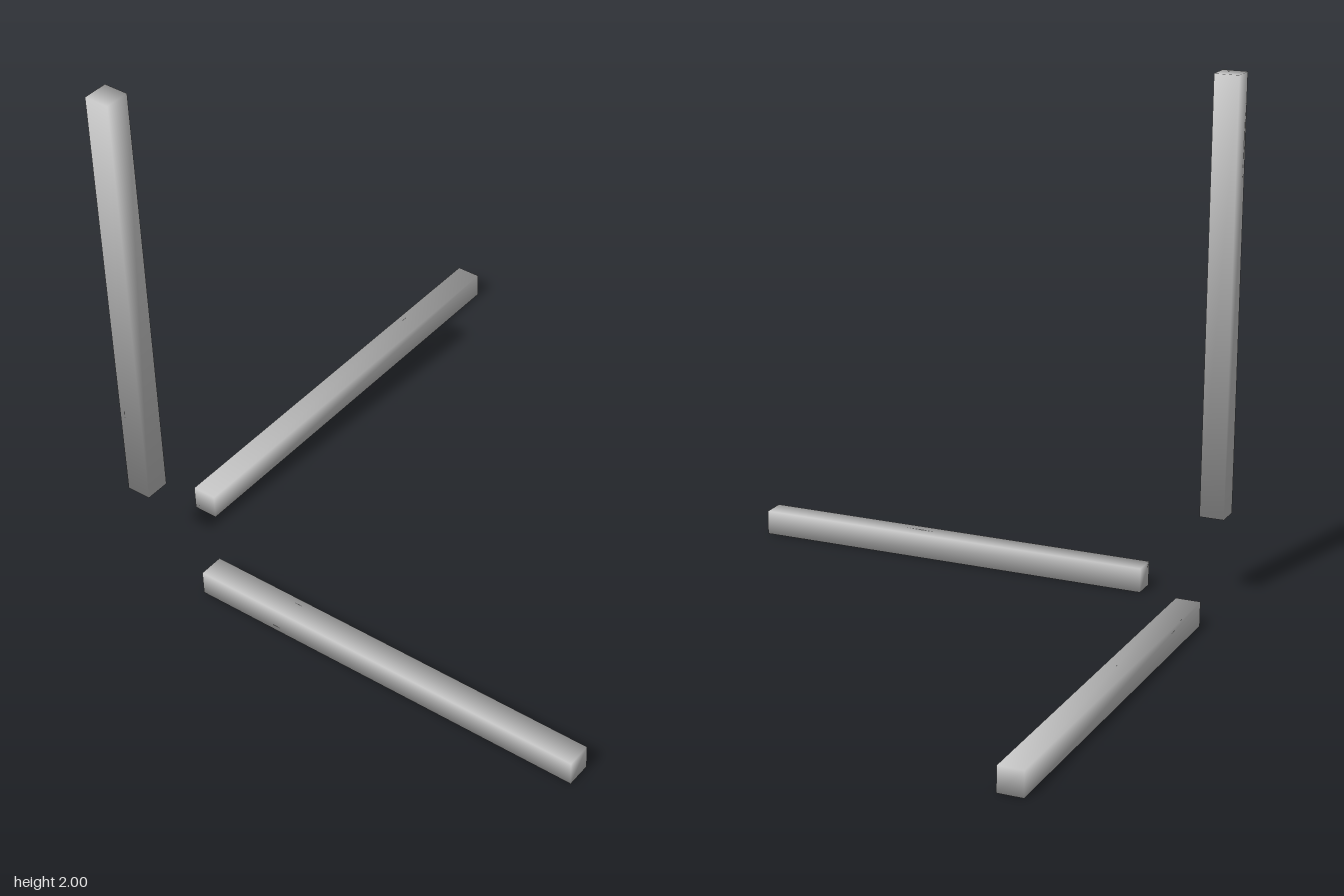
import * as THREE from 'three';

const T = 0.095; // bar thickness

// Square bar between two corners, with corner normals pointing diagonally outward for soft shading
function bar(name, min, max, material) {
  const size = max.map((v, i) => v - min[i]);
  const geometry = new THREE.BoxGeometry(...size);
  const { position, normal } = geometry.attributes;
  const n = new THREE.Vector3();
  for (let i = 0; i < position.count; i++) {
    n.fromBufferAttribute(position, i);
    n.set(Math.sign(n.x), Math.sign(n.y), Math.sign(n.z)).normalize();
    normal.setXYZ(i, n.x, n.y, n.z);
  }
  const mesh = new THREE.Mesh(geometry, material);
  mesh.name = name;
  mesh.position.set(...min.map((v, i) => (v + max[i]) / 2));
  return mesh;
}

export function createModel() {
  const group = new THREE.Group();
  group.name = 'axisBars';
  const material = new THREE.MeshStandardMaterial({ color: 0xcccccc });
  const x = -1, z = -0.957; // outer corner where the three axes would meet

  group.add(
    bar('sideBar', [-0.667, 0, z], [1, T, z + T], material),
    bar('uprightBar', [x, 0.336, z], [x + T, 2, z + T], material),
    bar('forwardBar', [x, 0, -0.635], [x + T, T, 0.957], material),
  );
  return group;
}
